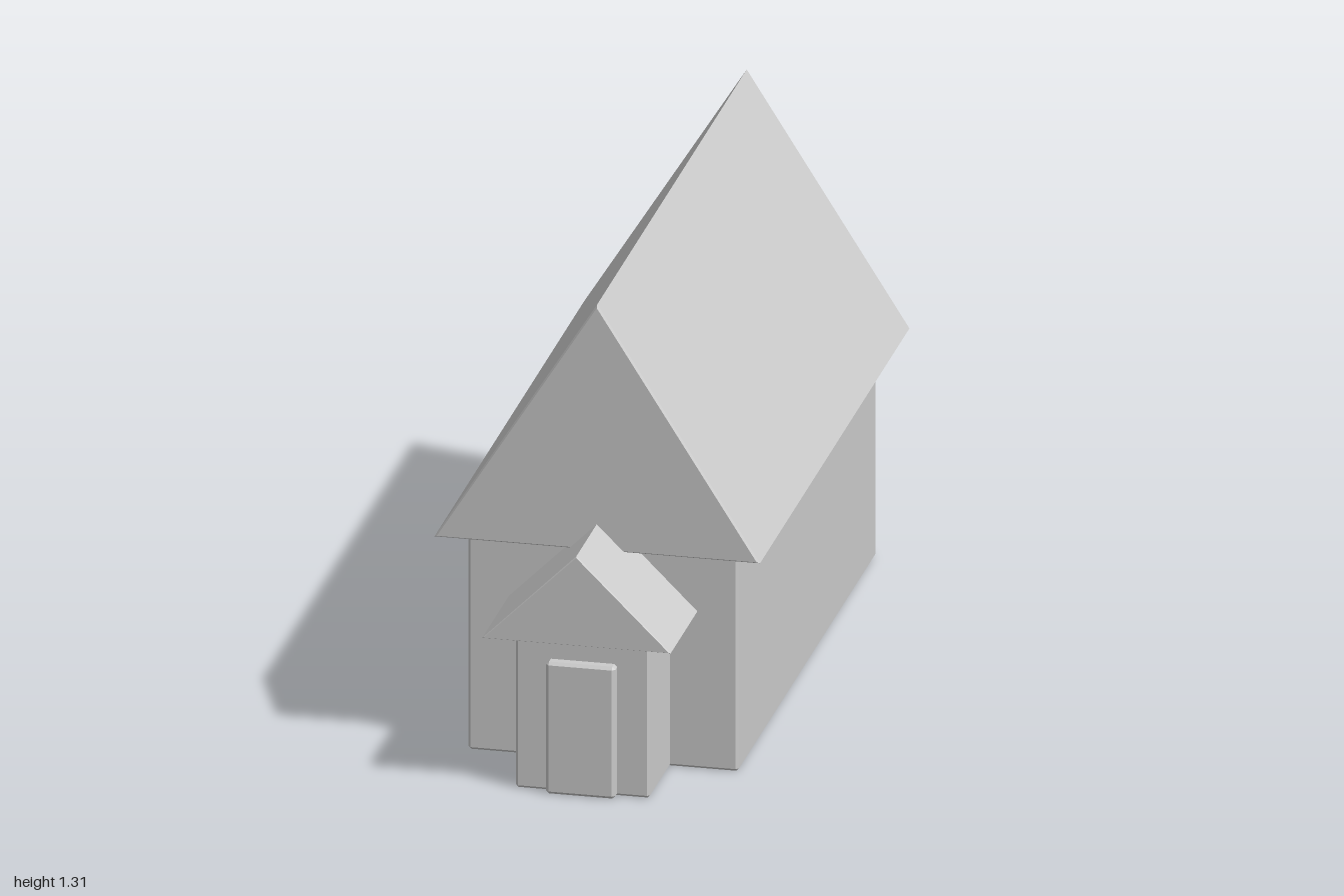
import * as THREE from 'three';
import { ConvexGeometry } from 'three/addons/geometries/ConvexGeometry.js';

const material = new THREE.MeshStandardMaterial({ color: 0xcccccc, flatShading: true });

// Box with narrow chamfered edges, given by its extents on each axis
function chamferedBox(name, [x0, x1], [y0, y1], [z0, z1], bevel = 0.007) {
  const half = [(x1 - x0) / 2, (y1 - y0) / 2, (z1 - z0) / 2];
  const points = [];
  for (const sx of [-1, 1]) for (const sy of [-1, 1]) for (const sz of [-1, 1]) {
    for (let axis = 0; axis < 3; axis++) {
      const inset = half.map((h, i) => (i === axis ? h : h - bevel));
      points.push(new THREE.Vector3(sx * inset[0], sy * inset[1], sz * inset[2]));
    }
  }
  const mesh = new THREE.Mesh(new ConvexGeometry(points), material);
  mesh.name = name;
  mesh.position.set((x0 + x1) / 2, (y0 + y1) / 2, (z0 + z1) / 2);
  return mesh;
}

// Solid triangular roof running along z, with chamfered gable edges
function gableRoof(name, halfWidth, eaveY, ridgeY, z0, z1, bevel = 0.006) {
  const gable = new THREE.Shape([
    new THREE.Vector2(-halfWidth, eaveY),
    new THREE.Vector2(halfWidth, eaveY),
    new THREE.Vector2(0, ridgeY),
  ]);
  const geometry = new THREE.ExtrudeGeometry(gable, {
    depth: z1 - z0 - 2 * bevel,
    bevelThickness: bevel,
    bevelSize: bevel,
    bevelOffset: -bevel,
    bevelSegments: 1,
  });
  const mesh = new THREE.Mesh(geometry, material);
  mesh.name = name;
  mesh.position.z = z0 + bevel;
  return mesh;
}

export function createModel() {
  const house = new THREE.Group();
  house.name = 'house';

  // Main building
  house.add(chamferedBox('mainWalls', [-0.363, 0.363], [0, 0.622], [-0.923, 0.685]));
  house.add(gableRoof('mainRoof', 0.437, 0.618, 1.307, -0.997, 0.76));

  // Entrance porch
  const porch = new THREE.Group();
  porch.name = 'porch';
  porch.add(chamferedBox('porchWalls', [-0.18, 0.18], [0, 0.444], [0.62, 0.926]));
  porch.add(gableRoof('porchRoof', 0.253, 0.441, 0.692, 0.68, 1.0, 0.003));
  porch.add(chamferedBox('door', [-0.093, 0.093], [0, 0.37], [0.9, 0.955], 0.008));
  house.add(porch);

  // Three windows on the right wall
  for (const z of [-0.56, -0.12, 0.32]) {
    house.add(chamferedBox('window', [-0.39, -0.34], [0.333, 0.477], [z - 0.054, z + 0.054], 0.007));
  }

  return house;
}
